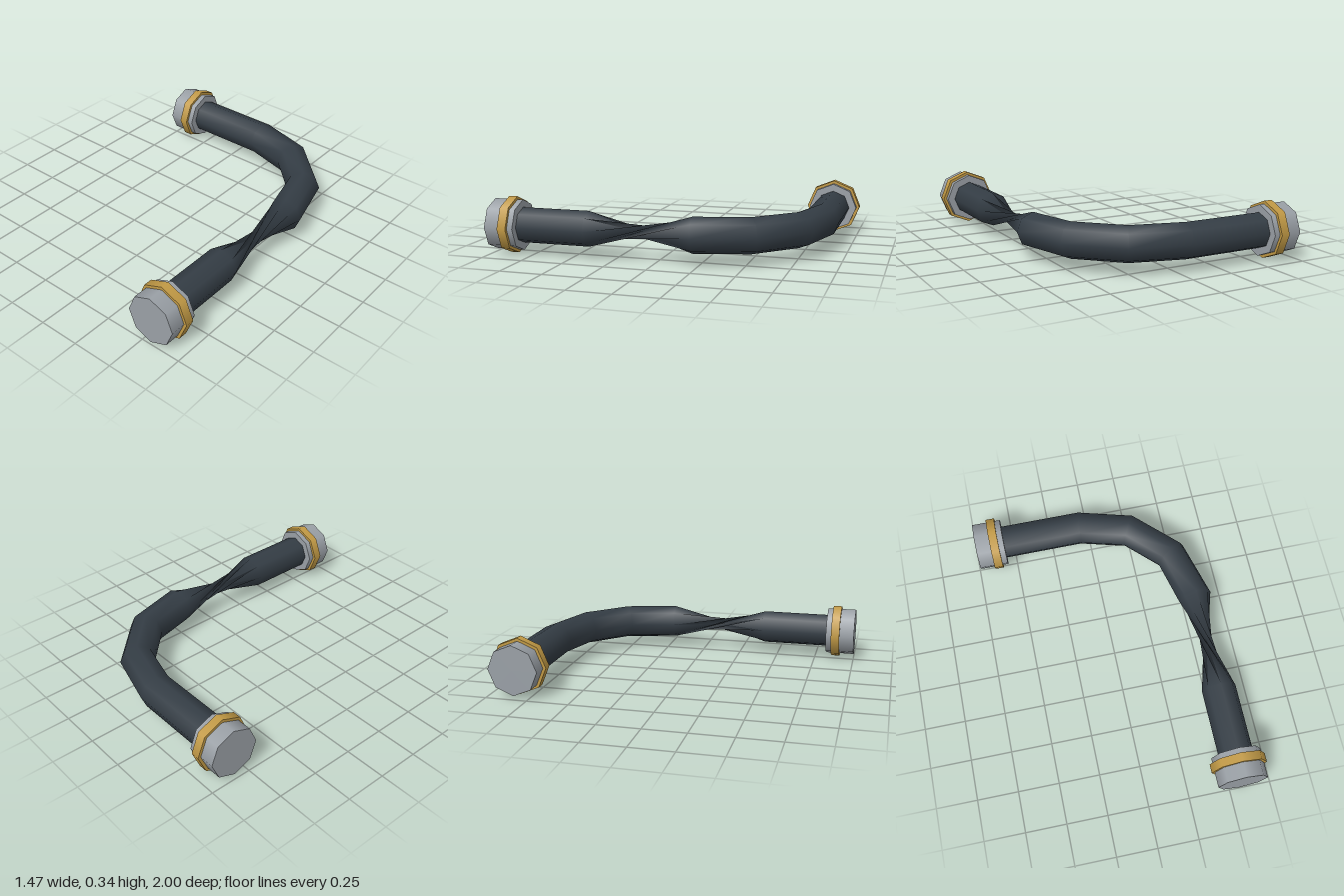
import * as THREE from 'three';

const SIDES = 8, AXIS_Y = 0.17, HOSE_R = 0.105;

// ring: centre x, z; lateral direction in degrees (0 = +x, 90 = -z); twist in eighths of a turn
const RINGS = [
  [-0.58, -0.835, 90, 3],
  [-0.06, -0.835, 84, 3],
  [0.25, -0.75, 61, 3],
  [0.48, -0.525, 31, 3],
  [0.5625, -0.21, 6, 3],
  [0.5625, 0.41, 0, 0], // wrung section lies between this ring and the one before
  [0.5625, 0.85, 0, 0],
];

function hoseGeometry() {
  const pos = [], nor = [], idx = [];
  for (const [cx, cz, deg, twist] of RINGS) {
    const a = THREE.MathUtils.degToRad(deg);
    const lx = Math.cos(a), lz = -Math.sin(a);
    for (let i = 0; i < SIDES; i++) {
      const t = ((i + twist) / SIDES) * Math.PI * 2;
      const c = Math.cos(t), s = Math.sin(t);
      nor.push(lx * c, s, lz * c);
      pos.push(cx + lx * c * HOSE_R, AXIS_Y + s * HOSE_R, cz + lz * c * HOSE_R);
    }
  }
  for (let r = 0; r < RINGS.length - 1; r++) {
    for (let i = 0; i < SIDES; i++) {
      const j = (i + 1) % SIDES;
      const a = r * SIDES + i, b = r * SIDES + j;
      const c = a + SIDES, d = b + SIDES;
      idx.push(a, c, b, b, c, d);
    }
  }
  const g = new THREE.BufferGeometry();
  g.setAttribute('position', new THREE.Float32BufferAttribute(pos, 3));
  g.setAttribute('normal', new THREE.Float32BufferAttribute(nor, 3));
  g.setIndex(idx);
  return g;
}

export function createModel() {
  const rubber = new THREE.MeshStandardMaterial({ name: 'dark rubber', color: 0x343d45, side: THREE.DoubleSide });
  const steel = new THREE.MeshStandardMaterial({ name: 'steel grey', color: 0x9aa0a6 });
  const brass = new THREE.MeshStandardMaterial({ name: 'brass', color: 0xc29a45 });

  const model = new THREE.Group();
  model.name = 'twistedHose';

  const hose = new THREE.Mesh(hoseGeometry(), rubber);
  hose.name = 'hose';
  model.add(hose);

  // End coupling: local +y points outward, origin at the outer face
  function coupling(name) {
    const g = new THREE.Group();
    g.name = name;
    const add = (part, radius, from, to, mat) => {
      const m = new THREE.Mesh(new THREE.CylinderGeometry(radius, radius, to - from, SIDES), mat);
      m.name = part;
      m.position.y = -(from + to) / 2;
      g.add(m);
    };
    add('collar', 0.15, 0, 0.178, steel);
    add('brassBand', 0.168, 0.091, 0.144, brass);
    model.add(g);
    return g;
  }

  const front = coupling('frontCoupling');
  front.rotation.x = Math.PI / 2;
  front.position.set(0.5625, AXIS_Y, 1);

  const back = coupling('backCoupling');
  back.rotation.z = Math.PI / 2;
  back.position.set(-0.735, AXIS_Y, -0.835);

  return model;
}
